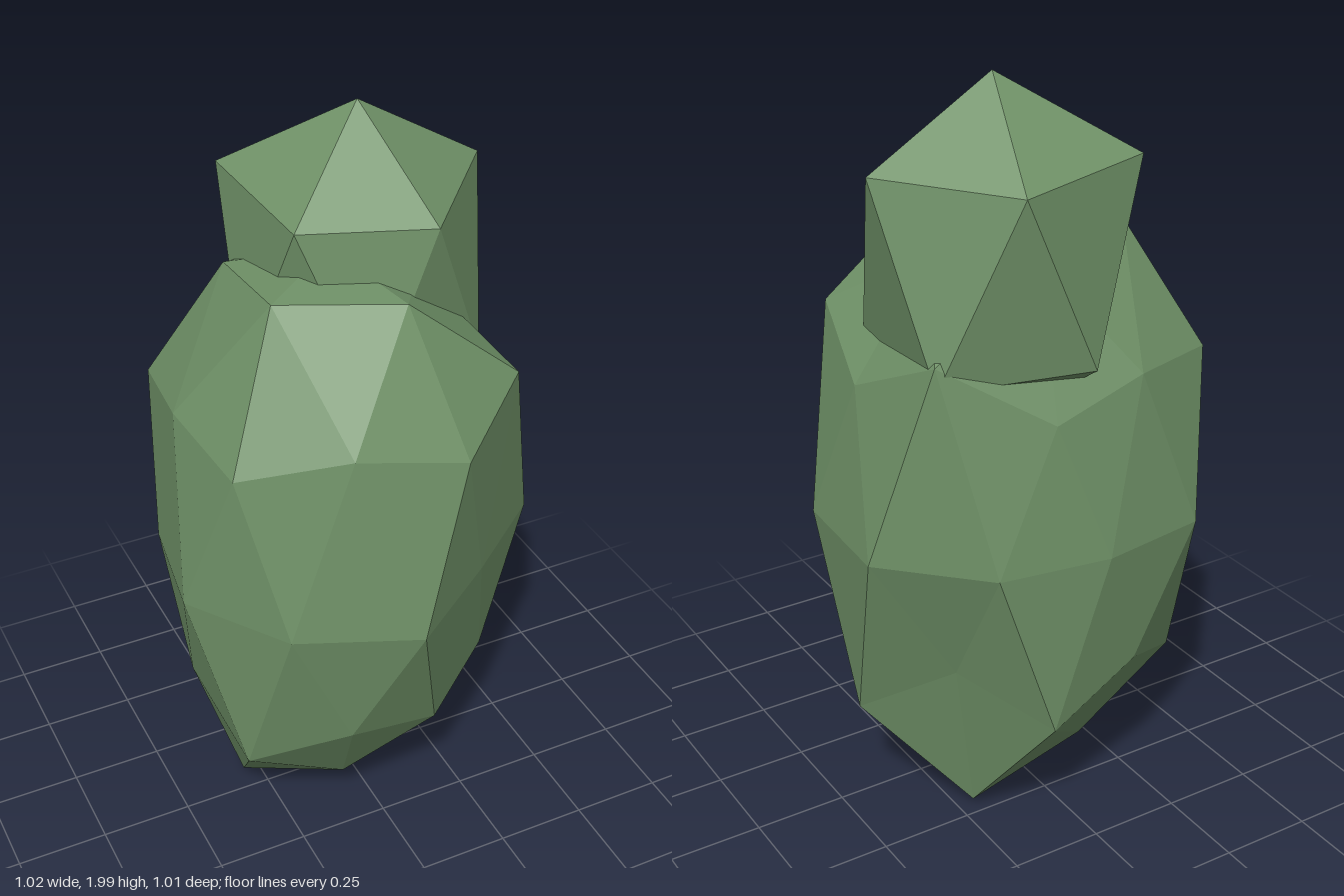
import * as THREE from 'three';

const cactusGreen = new THREE.MeshStandardMaterial({ color: 0x6f9167 });
cactusGreen.name = 'leafGreen';
cactusGreen.flatShading = true;

// Latitudes (sine) of the rows of a pole-up icosphere
const CAP = 0.8507, MID = 0.5257, CORNER = 0.4472;

// Faceted lump: each icosphere point keeps its direction and is pushed out by its own radius
function lump(name, [cx, cy, cz], stretch, r) {
  const point = (u, deg, f) => {
    const a = THREE.MathUtils.degToRad(deg), h = Math.sqrt(1 - u * u);
    return [cx + f * h * Math.cos(a), cy + f * u * stretch, cz + f * h * Math.sin(a)];
  };
  const row = (radii, u, start, step = 72) => radii && radii.map((f, i) => point(u, start + i * step, f));

  const top = point(1, 0, r.top), bottom = point(-1, 0, r.bottom);
  const U = row(r.upper, CORNER, 0), L = row(r.lower, -CORNER, 36);
  const capU = row(r.upperCap, CAP, 0), capL = row(r.lowerCap, -CAP, 36);
  const midU = row(r.upperMid, MID, 36), midL = row(r.lowerMid, -MID, 0);
  const belt = row(r.belt, 0, 18, 36);

  const pos = [];
  const tri = (...corners) => corners.forEach((p) => pos.push(...p));
  // One large face, split in four when its edge points exist
  const face = (a, b, c, ab, bc, ca) => {
    if (!ab) return tri(a, b, c);
    tri(a, ab, ca);
    tri(ab, b, bc);
    tri(ca, bc, c);
    tri(ab, bc, ca);
  };
  for (let i = 0; i < 5; i++) {
    const n = (i + 1) % 5;
    face(top, U[n], U[i], capU?.[n], midU?.[i], capU?.[i]);
    face(U[i], U[n], L[i], midU?.[i], belt?.[2 * i + 1], belt?.[2 * i]);
    face(L[i], U[n], L[n], belt?.[2 * i + 1], belt?.[(2 * i + 2) % 10], midL?.[n]);
    face(L[i], L[n], bottom, midL?.[n], capL?.[n], capL?.[i]);
  }
  const geo = new THREE.BufferGeometry();
  geo.setAttribute('position', new THREE.Float32BufferAttribute(pos, 3));
  geo.computeVertexNormals();
  const mesh = new THREE.Mesh(geo, cactusGreen);
  mesh.name = name;
  return mesh;
}

export function createModel() {
  const group = new THREE.Group();
  group.name = 'facetedPlant';

  // Large egg-shaped body
  group.add(lump('body', [-0.02, 0.84, -0.05], 1.76, {
    top: 0.47,
    upperCap: [0.47, 0.523, 0.541, 0.51, 0.48],
    upperMid: [0.567, 0.55, 0.505, 0.48, 0.585],
    upper: [0.515, 0.553, 0.54, 0.54, 0.47],
    belt: [0.536, 0.45, 0.555, 0.525, 0.515, 0.465, 0.505, 0.455, 0.508, 0.557],
    lower: [0.47, 0.49, 0.47, 0.46, 0.44],
    lowerMid: [0.564, 0.48, 0.545, 0.5, 0.52],
    lowerCap: [0.46, 0.467, 0.54, 0.45, 0.544],
    bottom: 0.474,
  }));

  // Smaller, coarser lump sunk into the top
  group.add(lump('topLump', [0.1, 1.557, -0.14], 1.4, {
    top: 0.316,
    upper: [0.38, 0.32, 0.353, 0.4, 0.365],
    lower: [0.36, 0.35, 0.36, 0.365, 0.385],
    bottom: 0.33,
  }));
  return group;
}
